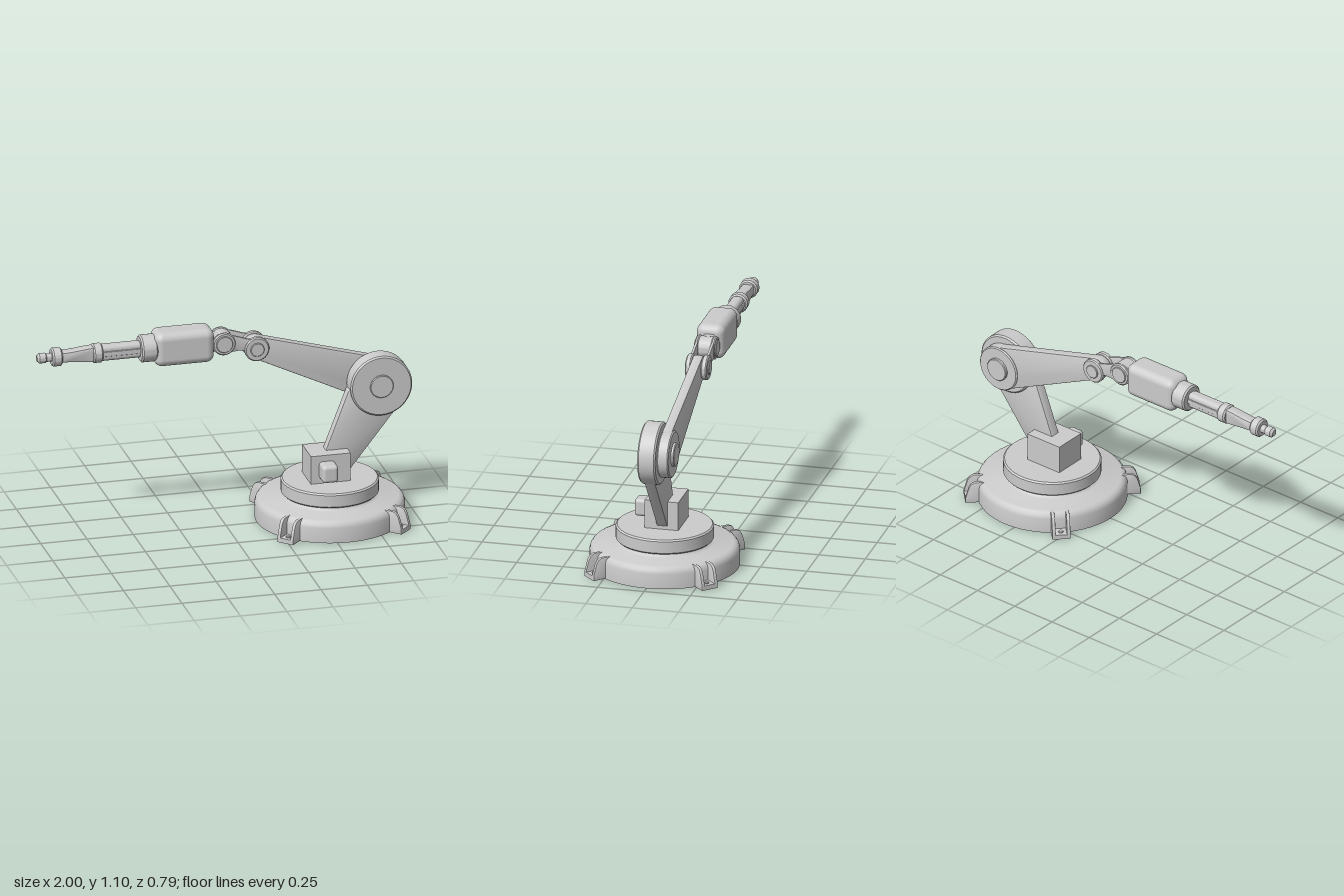
import * as THREE from 'three';
import { toCreasedNormals } from 'three/addons/utils/BufferGeometryUtils.js';
import { RoundedBoxGeometry } from 'three/addons/geometries/RoundedBoxGeometry.js';

const grey = new THREE.MeshStandardMaterial({ color: 0xcccccc });
const ARM_Z = -0.083; // depth of the forearm's centre line
const ARM_Y = 1.007; // height of the forearm's centre line

function add(parent, name, geometry, x = 0, y = 0, z = 0) {
  const mesh = new THREE.Mesh(geometry, grey);
  mesh.name = name;
  mesh.position.set(x, y, z);
  parent.add(mesh);
  return mesh;
}

// Turned part from [radius, height] pairs, listed from bottom to top
function turned(profile, segments = 48) {
  const pts = profile.map(([r, h]) => new THREE.Vector2(r, h));
  return toCreasedNormals(new THREE.LatheGeometry(pts, segments), 0.6);
}

// Disc with softened rims running from a to b along its axis
function disc(r, a, b, bevel = 0.006) {
  return turned([[0, a], [r - bevel, a], [r, a + bevel], [r, b - bevel], [r - bevel, b], [0, b]]);
}
const alongX = (g) => g.rotateZ(-Math.PI / 2);
const alongZ = (g) => g.rotateX(Math.PI / 2);

// Flat outline extruded from z0 to z1 with a small bevel kept inside the outline
function plate(shape, z0, z1, bevel = 0.004) {
  const g = new THREE.ExtrudeGeometry(shape, {
    depth: z1 - z0 - 2 * bevel, bevelThickness: bevel, bevelSize: bevel,
    bevelOffset: -bevel, bevelSegments: 2, curveSegments: 24,
  });
  return toCreasedNormals(g.translate(0, 0, z0 + bevel), 0.6);
}
const polygon = (pts) => new THREE.Shape(pts.map(([x, y]) => new THREE.Vector2(x, y)));

// Outline wrapped tightly around two circles
function hull(x1, y1, r1, x2, y2, r2) {
  const a = Math.atan2(y2 - y1, x2 - x1);
  const phi = Math.acos((r1 - r2) / Math.hypot(x2 - x1, y2 - y1));
  const s = new THREE.Shape();
  s.absarc(x1, y1, r1, a + phi, a - phi + 2 * Math.PI, false);
  s.absarc(x2, y2, r2, a - phi, a + phi, false);
  return s;
}

function createBase() {
  const base = new THREE.Group();
  base.name = 'base';
  base.position.x = 0.56;
  add(base, 'basePlate', turned([
    [0, 0], [0.393, 0], [0.393, 0.082], [0.388, 0.1], [0.377, 0.113], [0.36, 0.12],
    [0.255, 0.122], [0.243, 0.128], [0.235, 0.14], [0.235, 0.15], [0, 0.15],
  ], 72));
  add(base, 'turntable', disc(0.257, 0.14, 0.22, 0.008));

  // Four bolted feet: two cheeks with a low ledge between them
  const cheek = polygon([[0.33, 0], [0.46, 0], [0.46, 0.03], [0.442, 0.09], [0.43, 0.11], [0.41, 0.12], [0.33, 0.12]]);
  for (let i = 0; i < 4; i++) {
    const foot = new THREE.Group();
    foot.name = 'foot';
    foot.rotation.y = Math.PI / 4 + i * Math.PI / 2;
    for (const z of [-0.048, 0.03]) add(foot, 'footCheek', plate(cheek, z, z + 0.018, 0.003));
    add(foot, 'footLedge', new THREE.BoxGeometry(0.13, 0.025, 0.07), 0.395, 0.0125, 0);
    add(foot, 'footBolt', disc(0.013, 0, 0.008, 0.002), 0.428, 0.024, 0);
    base.add(foot);
  }
  return base;
}

function createLowerArm() {
  const arm = new THREE.Group();
  arm.name = 'lowerArm';
  add(arm, 'motorHousing', new THREE.BoxGeometry(0.214, 0.158, 0.181), 0.543, 0.296, -0.0045);
  add(arm, 'motorCap', new RoundedBoxGeometry(0.086, 0.096, 0.1, 4, 0.02), 0.523, 0.293, 0.115);
  add(arm, 'lowerArmPlate', plate(
    polygon([[0.482, 0.24], [0.652, 0.24], [0.92, 0.58], [0.9, 0.71], [0.72, 0.74], [0.655, 0.693]]), -0.037, 0.02));
  // Elbow: large drum, smaller drum behind, axle through both
  add(arm, 'elbowDrum', alongZ(disc(0.166, -0.057, 0.04, 0.008)), 0.83, 0.713);
  add(arm, 'elbowBackDrum', alongZ(disc(0.125, -0.117, -0.056)), 0.83, 0.713);
  add(arm, 'elbowAxle', alongZ(disc(0.063, -0.132, 0.047, 0.004)), 0.83, 0.713);
  return arm;
}

function createWristLink() {
  const link = new THREE.Group();
  link.name = 'wristLink';
  link.position.z = ARM_Z;
  // Curved side plate joining the two pivots
  const s = new THREE.Shape();
  s.moveTo(0.0, 1.05);
  s.bezierCurveTo(0.07, 1.055, 0.1, 1.02, 0.18, 1.01);
  s.lineTo(0.165, 0.91);
  s.bezierCurveTo(0.12, 0.985, 0.08, 0.955, 0.0, 0.955);
  s.closePath();
  for (const side of [-1, 1]) {
    const at = (near, far) => (side > 0 ? [near, far] : [-far, -near]);
    add(link, 'linkPlate', plate(s, ...at(0.036, 0.05), 0.003));
    add(link, 'rearPivotCheek', alongZ(disc(0.066, ...at(0.027, 0.058))), 0.176, 0.96);
    add(link, 'rearPivotPin', alongZ(disc(0.037, ...at(0.05, 0.065), 0.003)), 0.176, 0.96);
    add(link, 'frontPivotCheek', alongZ(disc(0.062, ...at(0.034, 0.054))), 0, 1.005);
    add(link, 'frontPivotPin', alongZ(disc(0.045, ...at(0.05, 0.06), 0.003)), 0, 1.005);
  }
  add(link, 'frontPivotDrum', alongZ(disc(0.058, -0.036, 0.036, 0.002)), 0, 1.005);
  return link;
}

function createForearm() {
  const arm = new THREE.Group();
  arm.name = 'forearm';
  arm.position.set(0, ARM_Y, ARM_Z);
  add(arm, 'neck', new RoundedBoxGeometry(0.1, 0.1, 0.066, 3, 0.015), -0.05, 0, 0);
  add(arm, 'forearmBody', new RoundedBoxGeometry(0.32, 0.187, 0.152, 6, 0.042), -0.215, 0, 0);
  add(arm, 'collar', alongX(disc(0.073, -0.446, -0.36, 0.008)));
  // Flattened shaft with a raised rail on each side
  add(arm, 'shaft', new RoundedBoxGeometry(0.23, 0.086, 0.064, 4, 0.022), -0.55, 0, 0);
  for (const side of [-1, 1]) {
    add(arm, 'shaftRail', new RoundedBoxGeometry(0.21, 0.028, 0.01, 2, 0.004), -0.55, 0, side * 0.032);
  }
  add(arm, 'shaftRing', alongX(disc(0.052, -0.702, -0.65, 0.008)));
  // Tapered nozzle, waisted on top and bottom
  const t = new THREE.Shape();
  t.moveTo(-0.69, -0.042);
  t.lineTo(-0.69, 0.042);
  t.bezierCurveTo(-0.76, 0.04, -0.8, 0.028, -0.88, 0.028);
  t.lineTo(-0.88, -0.028);
  t.bezierCurveTo(-0.8, -0.028, -0.76, -0.04, -0.69, -0.042);
  add(arm, 'nozzle', plate(t, -0.032, 0.032, 0.012));
  add(arm, 'nozzleRing', alongX(disc(0.05, -0.922, -0.868, 0.008)));
  add(arm, 'tip', alongX(turned([
    [0, -1], [0.016, -1], [0.021, -0.992], [0.027, -0.988], [0.027, -0.955],
    [0.022, -0.95], [0.022, -0.91], [0, -0.91],
  ], 32)));
  return arm;
}

export function createModel() {
  const model = new THREE.Group();
  model.name = 'roboticArm';
  model.add(createBase(), createLowerArm());
  add(model, 'upperArm', plate(hull(0.176, 0.96, 0.06, 0.83, 0.713, 0.121), -0.108, -0.057, 0.005));
  model.add(createWristLink(), createForearm());
  return model;
}
